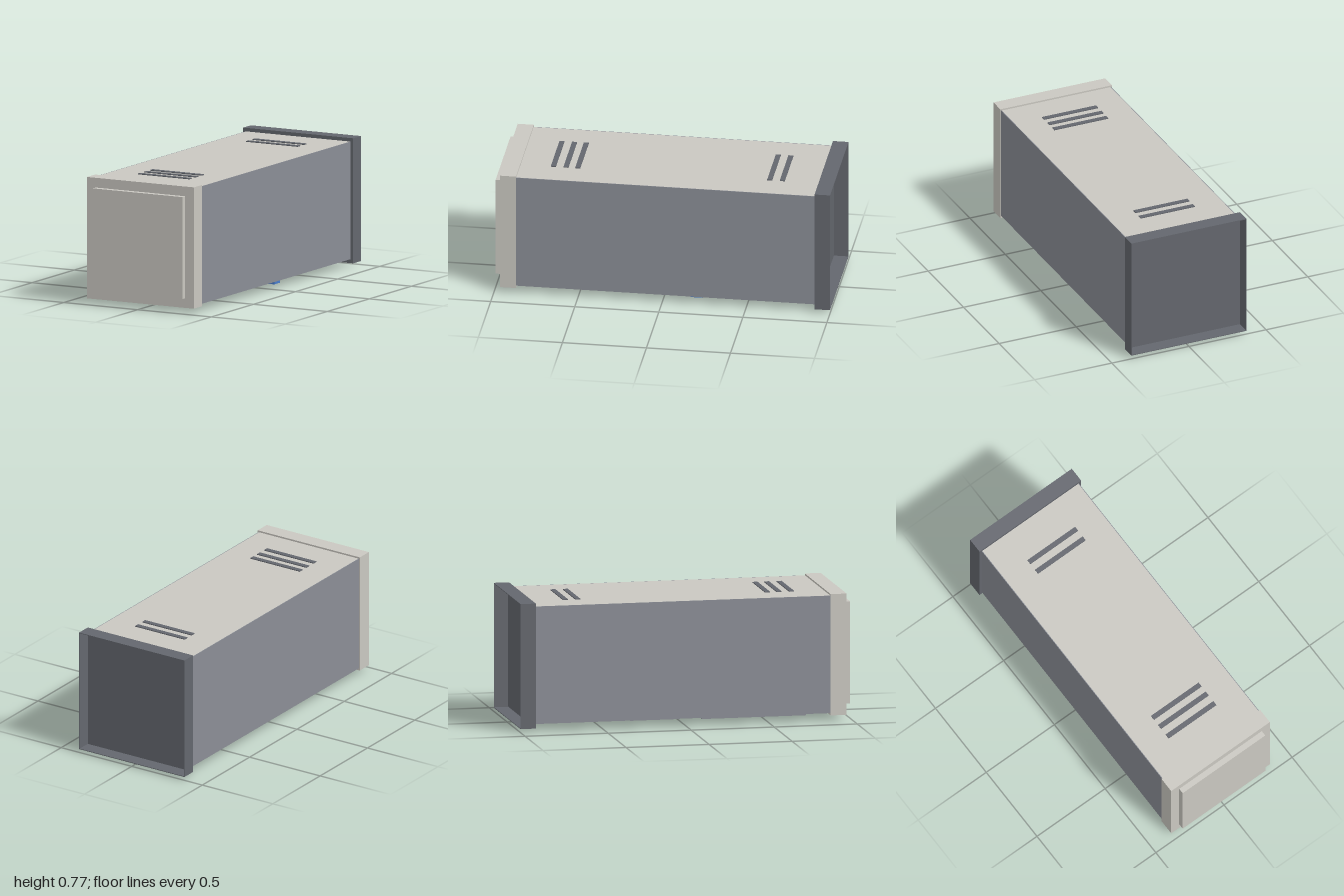
import * as THREE from 'three';

const mat = (name, color, side = THREE.FrontSide) => {
  const m = new THREE.MeshStandardMaterial({ color, side });
  m.name = name;
  return m;
};

export function createModel() {
  const group = new THREE.Group();
  const beige = mat('beige', 0xcac8c1);
  const grey = mat('grey', 0x8b8e96);
  const dark = mat('dark grey', 0x64676e);
  const red = mat('red', 0xc8423c);
  const blue = mat('blue', 0x4a7cca);
  const green = mat('green', 0x3f8f49);
  const yellow = mat('yellow', 0xd0a838);

  const add = (name, geometry, material) => {
    const mesh = new THREE.Mesh(geometry, material);
    mesh.name = name;
    group.add(mesh);
    return mesh;
  };
  // Box given by its lower and upper limits on each axis
  const box = (name, material, x0, x1, y0, y1, z0, z1) => {
    const mesh = add(name, new THREE.BoxGeometry(x1 - x0, y1 - y0, z1 - z0), material);
    mesh.position.set((x0 + x1) / 2, (y0 + y1) / 2, (z0 + z1) / 2);
    return mesh;
  };
  // Rectangular frame lying flat, seen from below
  const frame = (name, material, x, z0, z1, rim, y0, y1) => {
    box(name, material, -x, x, y0, y1, z0, z0 + rim);
    box(name, material, -x, x, y0, y1, z1 - rim, z1);
    for (const s of [-1, 1]) {
      const c = s * (x - rim / 2);
      box(name, material, c - rim / 2, c + rim / 2, y0, y1, z0 + rim, z1 - rim);
    }
  };

  // Cabinet with grey side panels
  box('cabinet', beige, -0.352, 0.352, 0.045, 0.747, -0.91, 0.87);
  for (const s of [-1, 1]) {
    box('sidePanel', grey, s * 0.354 - 0.002, s * 0.354 + 0.002, 0.045, 0.747, -0.91, 0.87);
  }

  // Front cap and its raised plate
  box('frontCap', beige, -0.362, 0.362, 0.032, 0.757, 0.87, 0.966);
  box('frontPlate', beige, -0.303, 0.303, 0.09, 0.699, 0.966, 1);

  // Rear tray, open at the back
  const w = 0.004;
  box('rearPanel', dark, -0.373, 0.373, 0.021, 0.768, -0.914, -0.908);
  box('rearTopWall', dark, -0.373, 0.373, 0.768 - w, 0.768, -1, -0.914);
  box('rearBottomWall', dark, -0.373, 0.373, 0.021, 0.021 + w, -1, -0.914);
  for (const s of [-1, 1]) {
    const c = s * (0.373 - w / 2);
    box('rearSideWall', dark, c - w / 2, c + w / 2, 0.021 + w, 0.768 - w, -1, -0.914);
  }

  // Vent strips on top
  for (const z of [0.53, 0.6, 0.675, -0.612, -0.687]) {
    box('topVent', dark, -0.175, 0.175, 0.742, 0.752, z - 0.015, z + 0.015);
  }

  // Display window underneath: base, raised rim and pale field
  frame('displayBase', grey, 0.275, 0.08, 0.78, 0.05, 0.033, 0.046);
  frame('displayRim', grey, 0.245, 0.12, 0.745, 0.028, 0.018, 0.034);
  box('displayField', beige, -0.225, 0.225, 0.035, 0.046, 0.13, 0.735);

  // Coloured crescents in rows on the display
  const rows = [
    [red, red, green, yellow],
    [yellow, blue, yellow, red],
    [grey, green, red, green],
    [blue, blue, blue, red],
  ];
  const crescent = new THREE.RingGeometry(0.024, 0.056, 20, 1, -2.9, 3.9);
  crescent.rotateX(Math.PI / 2); // faces down
  crescent.rotateY(Math.PI * 0.95);
  crescent.rotateY(Math.PI);
  // Aim the opening backwards
  crescent.rotateY(-0.9);
  rows.forEach((row, r) => row.forEach((material, c) => {
    const mesh = add('displayCrescent', crescent, material);
    mesh.position.set(0.16 - c * 0.107, 0.033, 0.625 - r * 0.137);
  }));

  // Payment buttons
  box('redButton', red, 0.105, 0.175, 0, 0.046, -0.225, -0.155);
  box('blueButton', blue, 0.198, 0.268, 0, 0.046, -0.225, -0.155);

  // Control panel with a green strip
  box('controlPanel', grey, -0.26, 0.08, 0.026, 0.046, -0.316, -0.016);
  box('greenStrip', green, -0.225, -0.095, 0.022, 0.028, -0.1, -0.055);

  // Rear hatch with its slatted flap
  box('hatch', grey, -0.21, 0.21, 0.038, 0.046, -0.785, -0.49);
  for (let i = 0; i < 3; i++) {
    const z = -0.525 - i * 0.032;
    box('hatchSlat', grey, -0.18, 0.18, 0.032, 0.04, z - 0.013, z + 0.013);
  }
  return group;
}
